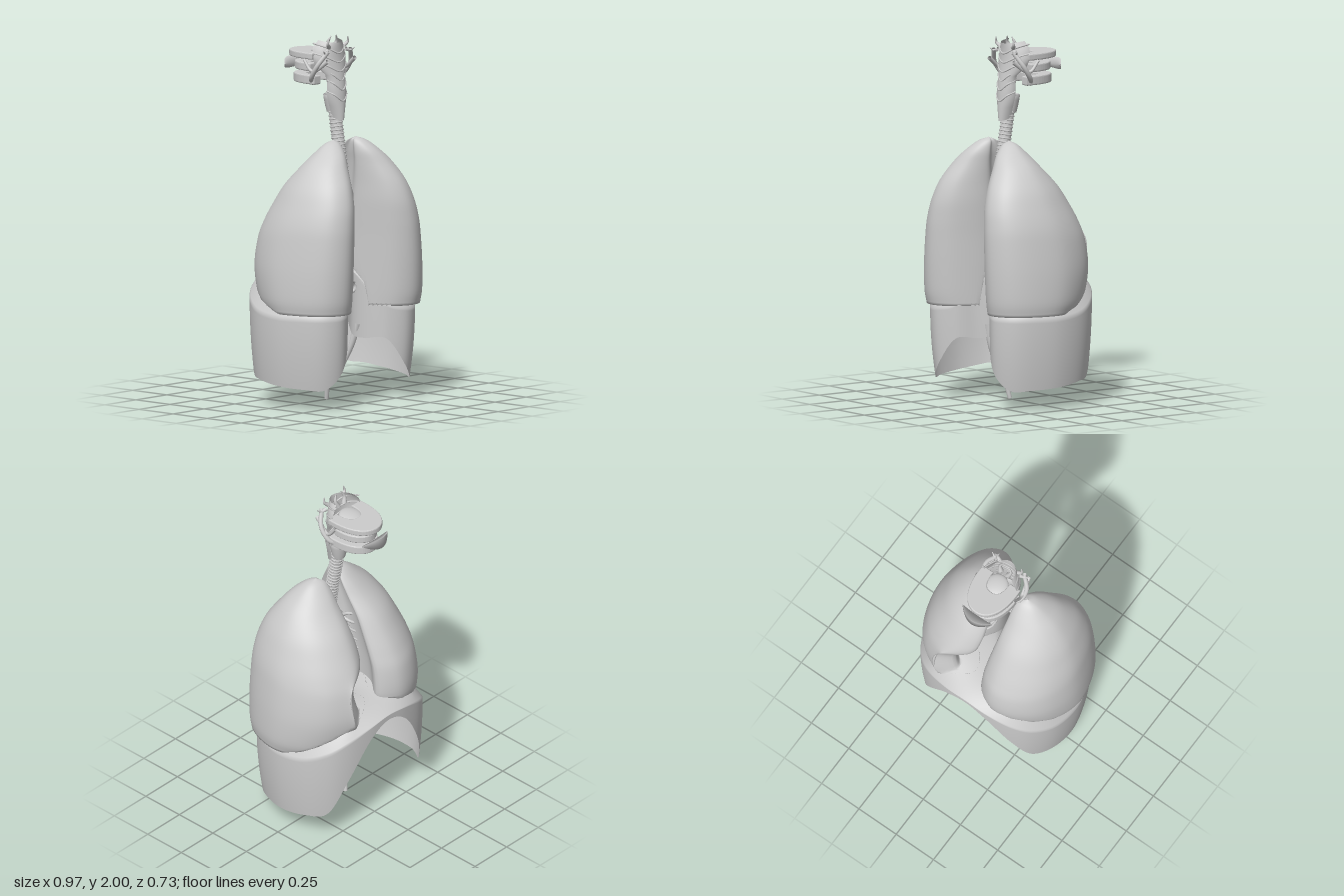
import * as THREE from 'three';

const V = (x, y, z) => new THREE.Vector3(x, y, z);
const mat = new THREE.MeshStandardMaterial({ color: 0xcccccc, side: THREE.DoubleSide });

function add(parent, name, geometry) {
  const m = new THREE.Mesh(geometry, mat);
  m.name = name;
  parent.add(m);
  return m;
}

// Skin a list of equally long rows of points
function skin(rows, closed, flip = false, skip = () => false) {
  const n = rows[0].length, pos = [], idx = [];
  rows.forEach(r => r.forEach(p => pos.push(p.x, p.y, p.z)));
  for (let i = 0; i < rows.length - 1; i++) {
    for (let j = 0; j < (closed ? n : n - 1); j++) {
      const k = (j + 1) % n, a = i * n + j, b = i * n + k, d = a + n, c = b + n;
      if (skip(rows[i][j].clone().add(rows[i + 1][k]).multiplyScalar(0.5))) continue;
      if (flip) idx.push(a, b, d, b, c, d);
      else idx.push(a, d, b, b, d, c);
    }
  }
  const g = new THREE.BufferGeometry();
  g.setAttribute('position', new THREE.Float32BufferAttribute(pos, 3));
  g.setIndex(idx);
  g.computeVertexNormals();
  return g;
}

// Tube along a curve whose radius runs from r0 to r1
function taper(points, r0, r1, seg = 14, sides = 10) {
  const curve = new THREE.CatmullRomCurve3(points.map(p => V(...p)));
  const g = new THREE.TubeGeometry(curve, seg, 1, sides);
  const p = g.attributes.position;
  for (let i = 0; i < p.count; i++) {
    const t = Math.floor(i / (sides + 1)) / seg, c = curve.getPointAt(t);
    const q = V(0, 0, 0).fromBufferAttribute(p, i).sub(c).multiplyScalar(r0 + (r1 - r0) * t).add(c);
    p.setXYZ(i, q.x, q.y, q.z);
  }
  return g;
}

// Diaphragm outline, half: x, z, shoulder height, lower edge height
const half = [
  [0, .12, .72, .45], [.05, .125, .7, .36], [.1, .17, .62, .34], [.16, .27, .52, .34], [.26, .325, .5, .2],
  [.36, .29, .5, .11], [.43, .19, .5, .11], [.47, .03, .5, .12], [.45, -.13, .52, .14],
  [.38, -.25, .57, .17], [.28, -.32, .63, .38], [.14, -.355, .68, .6], [0, -.36, .7, .67],
];
const outline = [...half, ...half.slice(1, -1).reverse().map(([x, ...r]) => [-x, ...r])];
const loop = k => new THREE.CatmullRomCurve3(outline.map(p => V(p[0], p[k], p[1])), true, 'catmullrom', 0.5).getPoints(192).slice(0, -1);
const shoulder = loop(2), margin = loop(3);
const CZ = -0.1;

function domeHeight(f, ys, x) {
  return ys + (0.76 - ys) * (1 - f ** 2.5) + 0.1 * (1 - f * f) * Math.min(1, (x / 0.25) ** 2);
}
// Height of the dome below any point, or 0 outside its outline
function domeAt(x, z) {
  const a = Math.atan2(Math.abs(x), z - CZ);
  let best = null, d = 9;
  for (let i = 0; i <= 96; i++) {
    const e = Math.abs(Math.atan2(Math.abs(shoulder[i].x), shoulder[i].z - CZ) - a);
    if (e < d) { d = e; best = shoulder[i]; }
  }
  const f = Math.hypot(x, z - CZ) / Math.hypot(best.x, best.z - CZ);
  return f > 1 ? 0 : domeHeight(f, best.y, x);
}

function diaphragm() {
  const g = new THREE.Group();
  g.name = 'diaphragm';
  const rows = [];
  for (let i = 0; i <= 20; i++) {
    const f = 1 - (1 - i / 20) ** 1.4;
    rows.push(shoulder.map(p => V(p.x * f, domeHeight(f, p.y, p.x * f), CZ + (p.z - CZ) * f)));
  }
  for (let i = 1; i <= 24; i++) {
    rows.push(shoulder.map((p, j) => {
      const y = p.y + (margin[j].y - p.y) * i / 24, s = 1 - 0.06 * ((p.y - y) / 0.4) ** 2;
      return V(p.x * s, y, CZ + (p.z - CZ) * s);
    }));
  }
  const inHole = p => p.z > 0.05 && Math.hypot(p.x - 0.035, p.y - 0.625) < 0.027;
  add(g, 'diaphragmDome', skin(rows, true, true, inHole));
  add(g, 'openingRim', new THREE.TorusGeometry(0.03, 0.008, 8, 28)).position.set(0.035, 0.625, 0.121);
  // Tapering muscle legs
  add(g, 'longLeg', taper([[-.07, .42, .11], [-.06, .28, .09], [-.045, .12, .02], [-.03, .005, -.005]], .025, .012));
  add(g, 'shortLeg', taper([[.08, .42, .12], [.068, .3, .09], [.058, .165, .03]], .024, .007));
  return g;
}

// Lung levels: y, inner x, outer x, back z, front z
const levels = [
  [.52, .08, .475, -.24, .345], [.6, .075, .487, -.29, .358], [.75, .07, .483, -.325, .365],
  [.9, .07, .465, -.31, .365], [1, .07, .445, -.27, .36], [1.1, .07, .41, -.215, .345],
  [1.2, .07, .365, -.15, .31], [1.3, .065, .295, -.06, .25], [1.37, .06, .22, 0, .2],
  [1.42, .065, .155, .05, .145], [1.44, .09, .1, .09, .1],
];
// Cross-section: inner to outer, back to front, both 0 to 1
const section = [
  [1, .5], [.93, .75], [.76, .93], [.5, 1], [.25, .93], [.07, .76], [0, .58], [.1, .44],
  [.06, .27], [-.09, .12], [.14, .01], [.42, .02], [.7, .12], [.9, .28],
];

function lung(s) {
  const rings = levels.map(([y, xi, xo, zb, zf]) => {
    const notch = s > 0 ? 0.38 * Math.exp(-(((y - 0.84) / 0.12) ** 2)) : 0;
    const pts = section.map(([u, w]) => {
      const uu = u + (w < 0.3 && u < 0.2 ? notch : 0);
      return V(s * (xi + (s > 0 ? .005 : -.008) + uu * (xo - xi)), y, zb + w * (zf - zb));
    });
    return new THREE.CatmullRomCurve3(pts, true, 'catmullrom', 0.5).getPoints(70).slice(0, -1);
  });
  const cols = rings[0].map((_, j) => new THREE.CatmullRomCurve3(rings.map(r => r[j]), false, 'catmullrom', 0.5).getPoints(50));
  const rows = cols[0].map((_, i) => cols.map(c => c[i]));
  // Hollow underside resting on the dome
  const base = rows[0], c = V(s * 0.28, 0.52, 0.04), under = [];
  for (let i = 0; i < 14; i++) under.push(base.map(p => c.clone().lerp(p, i / 14)));
  const all = [...under, ...rows];
  all.forEach(r => r.forEach(p => { p.y = Math.max(p.y, domeAt(p.x, p.z) + 0.012); }));
  // Close the apex
  const top = rows[rows.length - 1], tip = V(s * 0.095, 1.442, 0.095);
  all.push(top.map(() => tip.clone()));
  return skin(all, true, s < 0);
}

function airway() {
  const g = new THREE.Group();
  g.name = 'airway';
  const path = [[0, 1.6, .025], [0, 1.45, .05], [0, 1.3, .075], [0, 1.17, .09]];
  add(g, 'trachea', taper(path, .033, .034, 24, 20));
  const curve = new THREE.CatmullRomCurve3(path.map(p => V(...p)));
  for (let i = 0; i < 20; i++) {
    const t = 0.04 + i * 0.047, ring = add(g, 'tracheaRing', new THREE.TorusGeometry(.033, .005, 6, 24));
    ring.position.copy(curve.getPointAt(t));
    ring.lookAt(ring.position.clone().add(curve.getTangentAt(t)));
  }
  for (const s of [-1, 1]) {
    add(g, 'bronchus', taper([[0, 1.2, .088], [s * .04, 1.16, .085], [s * .08, 1.11, .07], [s * .14, 1.05, .05]], .026, .018));
    for (let k = 0; k < 5; k++) {
      const y = 1.15 - k * 0.05;
      add(g, 'bronchusBranch', taper([[s * .07, 1.12, .07], [s * .085, y, .02 - k * .006], [s * .14, y - .03, -.03 - k * .01]], .012, .005, 8, 7));
    }
  }
  return g;
}

// Horseshoe plate open toward +z
function horseshoe(w, zMin, zMax, iw, izMin, h) {
  const sh = new THREE.Shape();
  sh.moveTo(w, -zMax);
  sh.bezierCurveTo(w * 1.08, -zMin * .7, w * .6, -zMin, 0, -zMin);
  sh.bezierCurveTo(-w * .6, -zMin, -w * 1.08, -zMin * .7, -w, -zMax);
  sh.lineTo(-iw, -zMax);
  sh.bezierCurveTo(-iw, -izMin * .9, -iw * .5, -izMin, 0, -izMin);
  sh.bezierCurveTo(iw * .5, -izMin, iw, -izMin * .9, iw, -zMax);
  const geo = new THREE.ExtrudeGeometry(sh, { depth: h, bevelSize: .006, bevelThickness: .008, bevelSegments: 3, curveSegments: 16 });
  return geo.rotateX(-Math.PI / 2);
}

function throat() {
  const g = new THREE.Group();
  g.name = 'throat';
  // Muscular wall: y, half width, edge z, outermost z
  const wall = [
    [1.55, .03, .035, .09], [1.62, .048, .03, .092], [1.68, .068, .03, .088], [1.74, .064, .03, .085],
    [1.79, .068, .02, .075], [1.84, .105, -.02, .068], [1.89, .115, -.04, .06], [1.94, .1, -.04, .06], [1.975, .07, -.03, .065],
  ];
  const rows = wall.map(([y, w, z0, z1]) => Array.from({ length: 25 }, (_, i) => {
    const a = i / 24 * Math.PI;
    return V(w * Math.cos(a), y - 0.012 * Math.sin(a), z0 + (z1 - z0) * Math.sin(a));
  }));
  add(g, 'throatWall', skin(rows, false));
  // Chevron muscle bands
  for (let i = 0; i < 6; i++) {
    const [y, w, z0, z1] = wall[i + 2], m = z0 + (z1 - z0) * .7;
    add(g, 'muscleBand', taper([[-w, y + .02, z0], [-w * .7, y, m], [0, y - .035, z1 + .002], [w * .7, y, m], [w, y + .02, z0]], .005, .005, 20, 6));
  }
  // Voice box ring and its stem
  const ring = add(g, 'voiceBoxRing', new THREE.LatheGeometry(
    [[.034, -.05], [.042, -.02], [.05, .02], [.054, .045], [.046, .05], [.036, .02], [.03, -.05]].map(p => new THREE.Vector2(...p)), 28));
  ring.position.set(0, 1.63, .015);
  add(g, 'stem', taper([[0, 1.67, -.005], [0, 1.75, -.005], [0, 1.83, -.02]], .012, .02));
  // Stacked front plates
  const plates = [[1.88, .12, -.265, -.03, .062, -.13, .02], [1.812, .1, -.23, -.06, .06, -.13, .028], [1.742, .11, -.235, -.02, .075, -.16, .034]];
  for (const [y, ...p] of plates) add(g, 'throatPlate', horseshoe(...p)).position.y = y;
  const cap = add(g, 'throatFlap', new THREE.SphereGeometry(1, 28, 16));
  cap.scale.set(.065, .02, .07);
  cap.position.set(0, 1.89, -.075);
  cap.rotation.x = -.15;
  // Crescent in front
  const arc = Array.from({ length: 25 }, (_, i) => {
    const a = (i / 24 - .5) * 2, z = -.305 + .055 * a * a, h = .03 * (1 - a * a);
    return [V(a * .1, 1.825 + h, z), V(a * .095, 1.825, z + .05 * (1 - a * a)), V(a * .1, 1.82 - h, z)];
  });
  add(g, 'frontCrescent', skin([...arc].map(r => [...r, r[0].clone()]), false));
  for (const s of [-1, 1]) {
    // Side straps and horns
    add(g, 'sideStrap', taper([[s * .09, 1.92, .06], [s * .135, 1.84, .02], [s * .125, 1.77, -.03], [s * .08, 1.74, -.06]], .012, .014));
    add(g, 'sideStrap', taper([[s * .11, 1.87, .075], [s * .128, 1.81, -.02], [s * .13, 1.87, -.08]], .012, .008));
    add(g, 'upperHorn', taper([[s * .075, 1.92, .04], [s * .1, 1.91, .05], [s * .125, 1.925, .06]], .012, .002));
    add(g, 'upperHorn', taper([[s * .06, 1.94, .04], [s * .08, 1.96, .05], [s * .075, 1.99, .055]], .013, .002));
    add(g, 'upperHorn', taper([[s * .025, 1.93, .0], [s * .035, 1.965, .01], [s * .02, 1.998, .02]], .016, .002));
  }
  return g;
}

export function createModel() {
  const model = new THREE.Group();
  model.name = 'respiratorySystem';
  add(model, 'leftLung', lung(1));
  add(model, 'rightLung', lung(-1));
  model.add(diaphragm(), airway(), throat());
  return model;
}
